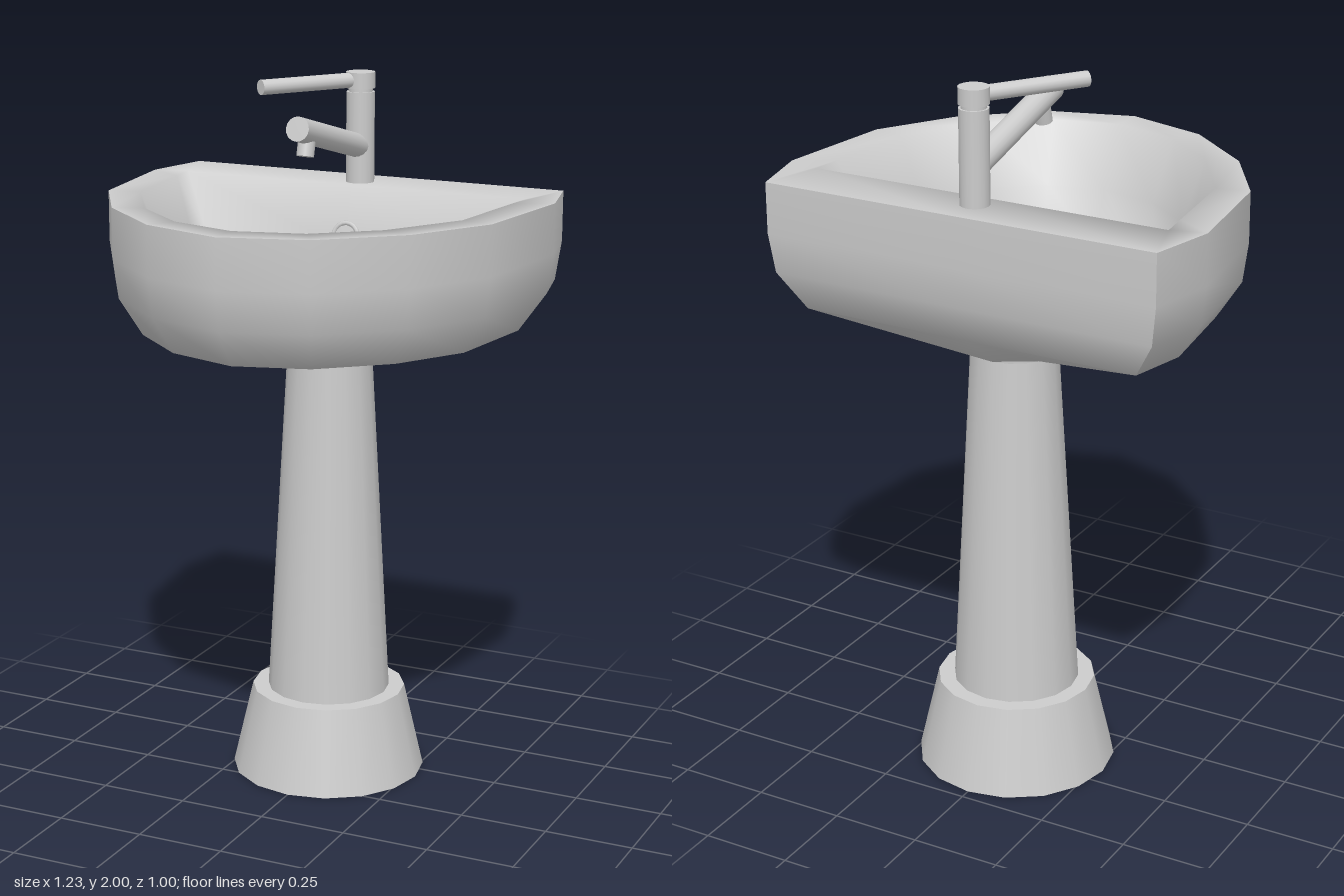
import * as THREE from 'three';
import { toCreasedNormals } from 'three/addons/utils/BufferGeometryUtils.js';

const material = new THREE.MeshStandardMaterial({ color: 0xcccccc, side: THREE.DoubleSide });
const PEDESTAL_Z = -0.193;

function add(parent, name, geometry, x = 0, y = 0, z = 0) {
  const mesh = new THREE.Mesh(geometry, material);
  mesh.name = name;
  mesh.position.set(x, y, z);
  parent.add(mesh);
  return mesh;
}

// Closed outline of [x, z] points from its +x half, starting at the back centre.
function mirrorOutline(half) {
  return [...half, ...half.slice(1, -1).reverse().map(([x, z]) => [-x, z])];
}

const scaled = (outline, s, cz) => outline.map(([x, z]) => [x * s, cz + (z - cz) * s]);

// Circle whose points lie in the same directions as the outline's points.
const circleFrom = (outline, r, cz) => outline.map(([x, z]) => {
  const d = Math.hypot(x, z - cz);
  return [x / d * r, cz + (z - cz) / d * r];
});

const blend = (a, b, t) => a.map((p, i) => [p[0] + (b[i][0] - p[0]) * t, p[1] + (b[i][1] - p[1]) * t]);

// Skin joining a stack of rings { y, outline }.
function loft(rings) {
  const n = rings[0].outline.length, positions = [], index = [];
  for (const { y, outline } of rings) for (const [x, z] of outline) positions.push(x, y, z);
  for (let k = 0; k < rings.length - 1; k++) {
    for (let i = 0; i < n; i++) {
      const a = k * n + i, b = k * n + (i + 1) % n;
      index.push(a, b, a + n, b, b + n, a + n);
    }
  }
  const geometry = new THREE.BufferGeometry();
  geometry.setAttribute('position', new THREE.Float32BufferAttribute(positions, 3));
  geometry.setIndex(index);
  geometry.computeVertexNormals();
  return geometry;
}

// Round bar between two points.
function bar(parent, name, from, to, r) {
  const a = new THREE.Vector3(...from), b = new THREE.Vector3(...to), dir = b.clone().sub(a);
  const mesh = add(parent, name, new THREE.CylinderGeometry(r, r, dir.length(), 16));
  mesh.position.copy(a).lerp(b, 0.5);
  mesh.quaternion.setFromUnitVectors(new THREE.Vector3(0, 1, 0), dir.normalize());
  return mesh;
}

// Ring and recessed disc, facing +z before it is tilted.
function opening(parent, name, r, y, z, tilt) {
  const group = new THREE.Group();
  group.name = name;
  group.position.set(0, y, z);
  group.rotation.x = tilt;
  add(group, name + 'Ring', new THREE.TorusGeometry(r, 0.007, 8, 20));
  add(group, name + 'Disc', new THREE.CircleGeometry(r, 20), 0, 0, 0.002);
  parent.add(group);
}

function createBasin() {
  const basin = new THREE.Group();
  basin.name = 'basin';
  const rim = mirrorOutline([[0, -0.5], [0.57, -0.5], [0.615, -0.31], [0.57, 0.04],
    [0.435, 0.26], [0.235, 0.43], [0, 0.5]]);
  const lip = mirrorOutline([[0, -0.335], [0.52, -0.335], [0.51, -0.25], [0.48, 0.02],
    [0.35, 0.23], [0.19, 0.36], [0, 0.41]]);
  const floor = mirrorOutline([[0, -0.25], [0.36, -0.25], [0.37, -0.17], [0.34, 0],
    [0.26, 0.14], [0.14, 0.22], [0, 0.25]]);

  // Outer shell, narrowing to the pedestal
  const shell = loft([
    { y: 1.69, outline: rim },
    { y: 1.55, outline: rim },
    { y: 1.44, outline: scaled(rim, 0.975, -0.1) },
    { y: 1.335, outline: scaled(rim, 0.86, -0.1) },
    { y: 1.23, outline: circleFrom(rim, 0.12, PEDESTAL_Z) },
  ]);
  add(basin, 'shell', toCreasedNormals(shell, 0.9));

  // Bowl and flat rim, listed from the drain outward
  add(basin, 'bowl', loft([
    { y: 1.35, outline: circleFrom(floor, 0.045, -0.14) },
    { y: 1.375, outline: floor },
    { y: 1.52, outline: blend(floor, lip, 0.5) },
    { y: 1.69, outline: lip },
    { y: 1.69, outline: rim },
  ]));
  opening(basin, 'drain', 0.046, 1.354, -0.14, -Math.PI / 2);
  opening(basin, 'overflow', 0.037, 1.55, -0.294, -0.27);
  return basin;
}

function createPedestal() {
  const pedestal = new THREE.Group();
  pedestal.name = 'pedestal';
  pedestal.position.z = PEDESTAL_Z;
  add(pedestal, 'column', new THREE.CylinderGeometry(0.12, 0.175, 0.985, 16, 1, true), 0, 0.7375);
  add(pedestal, 'foot', new THREE.CylinderGeometry(0.22, 0.277, 0.245, 16, 1, true), 0, 0.1225);
  // Ledge between foot and column
  const ledge = new THREE.RingGeometry(0.175, 0.22, 16).rotateX(-Math.PI / 2).rotateY(Math.PI / 2);
  add(pedestal, 'footLedge', ledge, 0, 0.245);
  return pedestal;
}

function createFaucet() {
  const faucet = new THREE.Group();
  faucet.name = 'faucet';
  faucet.position.z = -0.393;
  bar(faucet, 'faucetBody', [0, 1.68, 0], [0, 1.945, 0], 0.04);
  bar(faucet, 'faucetNeck', [0, 1.94, 0], [0, 1.96, 0], 0.034);
  bar(faucet, 'faucetCap', [0, 1.955, 0], [0, 2, 0], 0.041);
  bar(faucet, 'lever', [0, 1.978, 0], [-0.18, 1.978, 0.267], 0.021);
  bar(faucet, 'spout', [0, 1.79, 0], [0, 1.896, 0.41], 0.034);
  bar(faucet, 'aerator', [0, 1.88, 0.345], [0, 1.815, 0.362], 0.024);
  return faucet;
}

export function createModel() {
  const model = new THREE.Group();
  model.name = 'pedestalSink';
  model.add(createBasin(), createPedestal(), createFaucet());
  return model;
}
